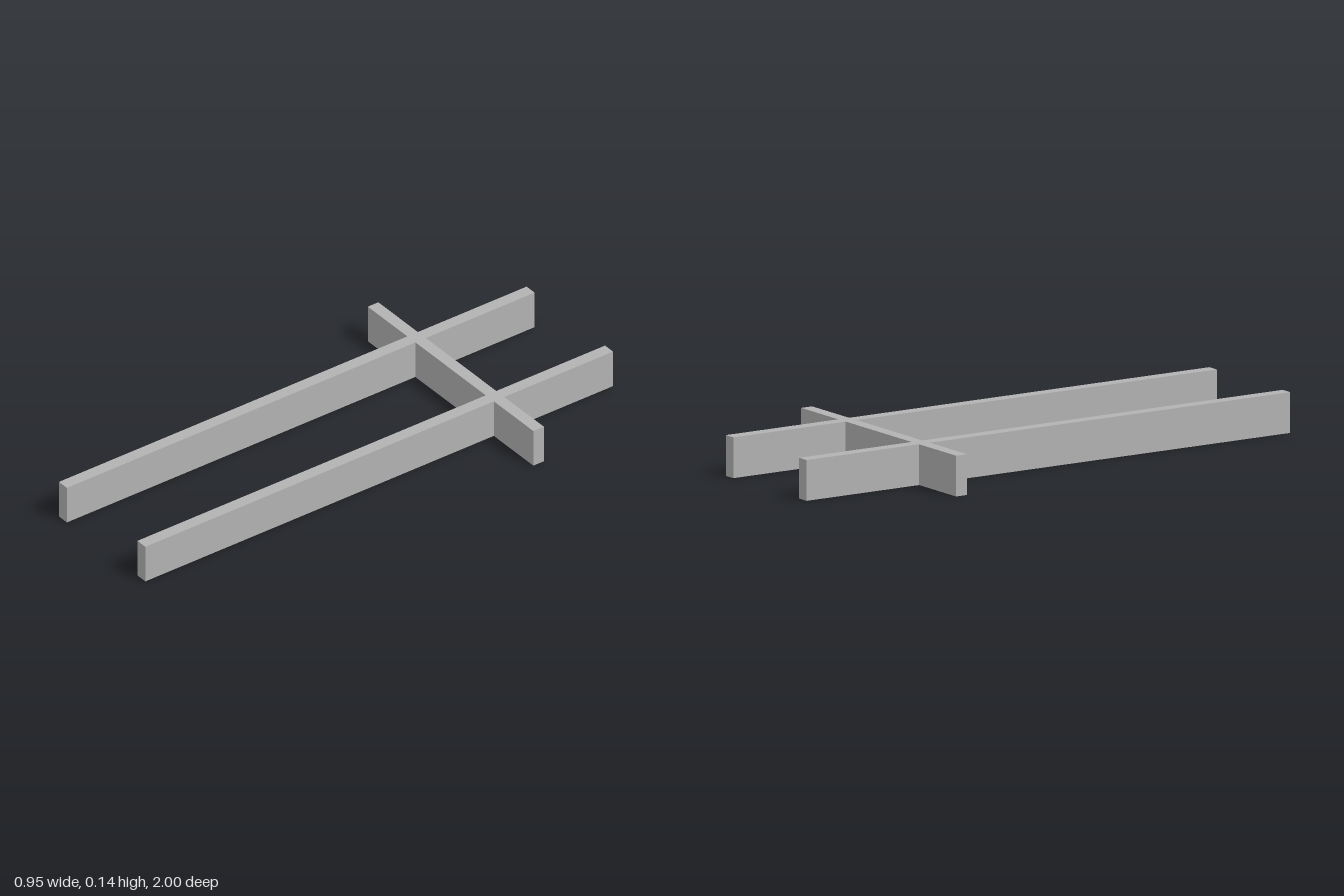
import * as THREE from 'three';

const HEIGHT = 0.143;
const RAIL_INNER = 0.202, RAIL_OUTER = 0.248;   // x extent of each rail
const BAR_HALF = 0.475;                         // half length of the crossbar
const BAR_BACK = -0.535, BAR_FRONT = -0.49;     // z extent of the crossbar

export function createModel() {
  const model = new THREE.Group();
  model.name = 'crossedRails';

  const grey = new THREE.MeshStandardMaterial({ color: 0xb2b2b2 });
  grey.name = 'grey';

  // Full-height plank spanning the given x and z ranges
  const plank = (name, x0, x1, z0, z1, parent) => {
    const mesh = new THREE.Mesh(new THREE.BoxGeometry(x1 - x0, HEIGHT, z1 - z0), grey);
    mesh.name = name;
    mesh.position.set((x0 + x1) / 2, HEIGHT / 2, (z0 + z1) / 2);
    parent.add(mesh);
  };

  // Two long parallel rails
  plank('leftRail', RAIL_INNER, RAIL_OUTER, -1, 1, model);
  plank('rightRail', -RAIL_OUTER, -RAIL_INNER, -1, 1, model);

  // Crossbar, cut where it meets the rails so the tops stay flush
  const crossbar = new THREE.Group();
  crossbar.name = 'crossbar';
  plank('crossbarMiddle', -RAIL_INNER, RAIL_INNER, BAR_BACK, BAR_FRONT, crossbar);
  plank('crossbarLeftEnd', RAIL_OUTER, BAR_HALF, BAR_BACK, BAR_FRONT, crossbar);
  plank('crossbarRightEnd', -BAR_HALF, -RAIL_OUTER, BAR_BACK, BAR_FRONT, crossbar);
  model.add(crossbar);

  return model;
}
